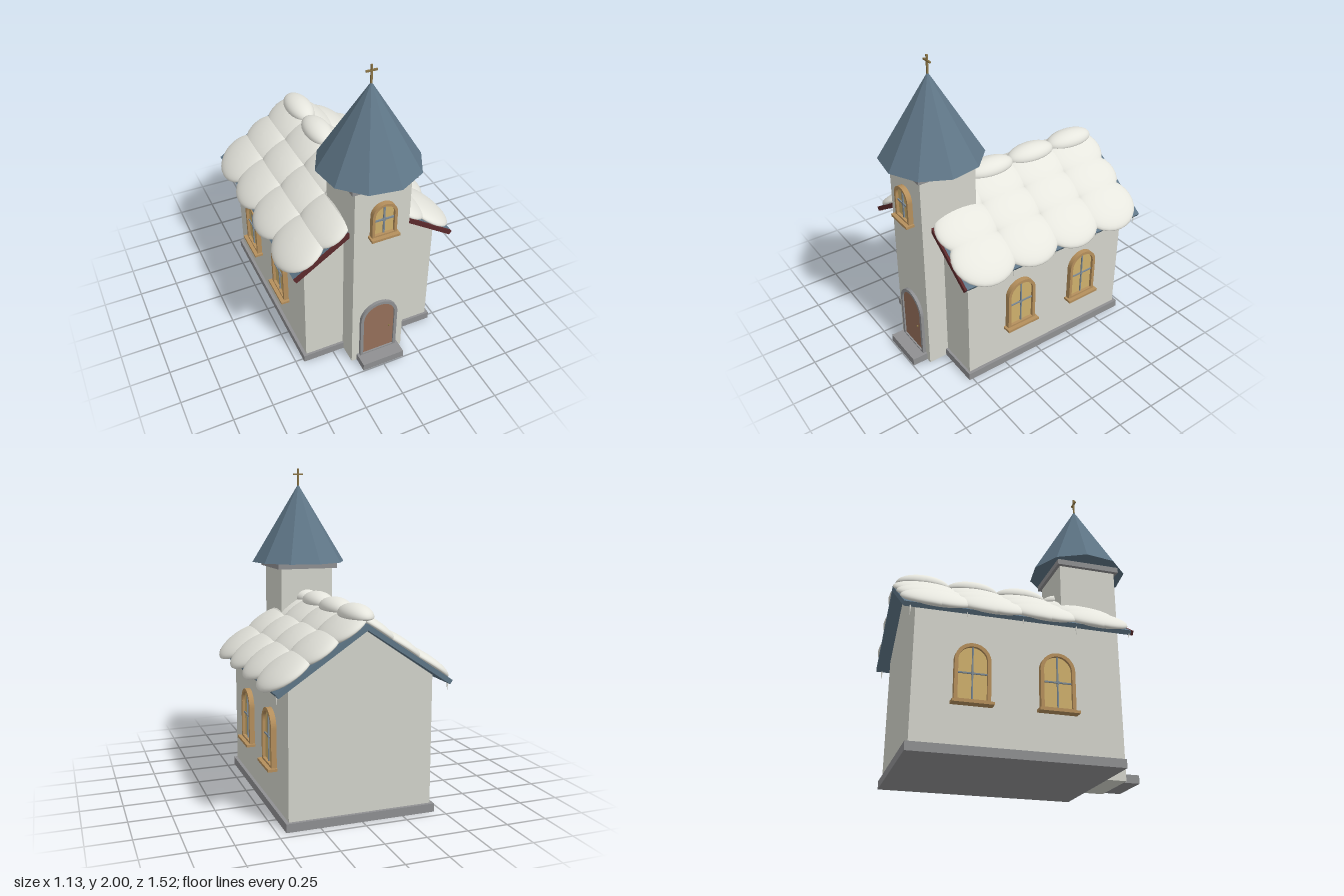
import * as THREE from 'three';

const mat = (name, color, extra = {}) => {
  const m = new THREE.MeshStandardMaterial({ color, ...extra });
  m.name = name;
  return m;
};

export function createModel() {
  const model = new THREE.Group();
  model.name = 'chapel';
  const M = {
    wall: mat('plaster', 0xd3d4cb),
    stone: mat('stone', 0x8f9092),
    roof: mat('slate', 0x5f7687, { flatShading: true }),
    trim: mat('dark red trim', 0x5c2a2c),
    snow: mat('snow', 0xe6e6de),
    door: mat('door wood', 0x96705a),
    frame: mat('window wood', 0xb58f5c),
    pane: mat('lit glass', 0xcfb06c),
    bar: mat('window bar', 0x7d8a94),
    brass: mat('brass', 0x8a7446),
  };

  const add = (parent, name, geo, material, x = 0, y = 0, z = 0) => {
    const mesh = new THREE.Mesh(geo, material);
    mesh.name = name;
    mesh.position.set(x, y, z);
    parent.add(mesh);
    return mesh;
  };
  // Box given by its limits on each axis
  const box = (parent, name, material, x0, x1, y0, y1, z0, z1) =>
    add(parent, name, new THREE.BoxGeometry(x1 - x0, y1 - y0, z1 - z0), material,
      (x0 + x1) / 2, (y0 + y1) / 2, (z0 + z1) / 2);
  const extrude = (shape, depth) =>
    new THREE.ExtrudeGeometry(shape, { depth, bevelEnabled: false, curveSegments: 16 });
  const polygon = (pts) => new THREE.Shape(pts.map(([x, y]) => new THREE.Vector2(x, y)));
  // Round-headed outline, half width w, from y0 to y1
  const arch = (w, y0, y1) => {
    const s = new THREE.Shape();
    s.moveTo(-w, y0);
    s.lineTo(w, y0);
    s.lineTo(w, y1 - w);
    s.absarc(0, y1 - w, w, 0, Math.PI, false);
    s.lineTo(-w, y0);
    return s;
  };
  const archFrame = (w, y0, y1, t, bottom) => {
    const s = arch(w, y0, y1);
    s.holes.push(arch(w - t, y0 + bottom, y1 - t));
    return s;
  };

  // Nave, gable and plinth
  box(model, 'naveWalls', M.wall, -0.43, 0.43, 0.05, 0.8, -0.675, 0.51);
  box(model, 'plinth', M.stone, -0.45, 0.45, 0, 0.05, -0.695, 0.525);
  add(model, 'gable', extrude(polygon([[-0.43, 0.8], [0.43, 0.8], [0.43, 0.815], [0, 1.105], [-0.43, 0.815]]), 1.185),
    M.wall, 0, 0, -0.675);

  // Roof with a trim board along the front edge
  const chevron = polygon([[0, 1.14], [-0.52, 0.793], [-0.505, 0.77], [0, 1.105], [0.505, 0.77], [0.52, 0.793]]);
  add(model, 'naveRoof', extrude(chevron, 1.32), M.roof, 0, 0, -0.75);
  add(model, 'frontRoofTrim', extrude(chevron, 0.015), M.trim, 0, 0, 0.57);

  // Snow pillows, flattened underneath, in rows along both slopes and the ridge
  const puffGeo = new THREE.SphereGeometry(1, 28, 18);
  const p = puffGeo.attributes.position;
  for (let i = 0; i < p.count; i++) if (p.getY(i) < 0) p.setY(i, p.getY(i) * 0.6);
  puffGeo.computeVertexNormals();
  const snow = new THREE.Group();
  snow.name = 'roofSnow';
  model.add(snow);
  const pitch = Math.atan2(0.347, 0.52);
  const columns = [[0.08, 0.17], [0.24, 0.17], [0.41, 0.182]];
  for (const z of [0.385, 0.07, -0.245, -0.555]) {
    for (const side of [-1, 1]) {
      for (const [x, a] of columns) {
        const puff = add(snow, 'snowPillow', puffGeo, M.snow, side * x, 1.152 - 0.667 * x, z);
        puff.scale.set(a, 0.05, 0.205);
        puff.rotation.z = -side * pitch;
      }
    }
    add(snow, 'ridgeSnow', puffGeo, M.snow, 0, 1.165, z - 0.01).scale.set(0.088, 0.065, 0.17);
  }

  // Icicles under the eaves
  for (const side of [-1, 1])
    for (const [z, len] of [[0.56, 0.03], [0.235, 0.06], [-0.08, 0.03], [-0.4, 0.03], [-0.715, 0.06]])
      add(model, 'icicle', new THREE.ConeGeometry(0.006, len, 8).rotateX(Math.PI), M.snow,
        side * 0.505, 0.78 - len / 2, z);

  // Tower, cornice, ten-sided spire and cross
  box(model, 'tower', M.wall, -0.175, 0.175, 0, 1.36, 0.275, 0.645);
  box(model, 'towerCornice', M.stone, -0.2, 0.2, 1.355, 1.39, 0.255, 0.665);
  add(model, 'spire', new THREE.ConeGeometry(0.31, 0.51, 10, 1, false, 0.16), M.roof, 0, 1.645, 0.458);
  box(model, 'crossPost', M.brass, -0.005, 0.005, 1.88, 2.0, 0.453, 0.463);
  box(model, 'crossBar', M.brass, -0.034, 0.034, 1.96, 1.97, 0.453, 0.463);

  // Door with step and knob
  box(model, 'doorStep', M.stone, -0.14, 0.14, 0, 0.05, 0.645, 0.745);
  add(model, 'doorFrame', extrude(archFrame(0.125, 0.05, 0.47, 0.02, 0.008), 0.022), M.stone, 0, 0, 0.643);
  add(model, 'door', extrude(arch(0.106, 0.055, 0.451), 0.012), M.door, 0, 0, 0.643);
  add(model, 'doorKnob', new THREE.SphereGeometry(0.006, 12, 8), M.brass, 0.07, 0.24, 0.664);

  // Arched window facing +z, wall at local z = 0
  const makeWindow = (name, w, y0, y1, t, barY, barW) => {
    const g = new THREE.Group();
    g.name = name;
    add(g, 'windowFrame', extrude(archFrame(w, y0, y1, t, t * 0.6), 0.032), M.frame);
    add(g, 'windowPane', extrude(arch(w - t + 0.001, y0 + t * 0.5, y1 - t + 0.001), 0.009), M.pane, 0, 0, 0.005);
    box(g, 'uprightBar', M.bar, -barW / 2, barW / 2, y0 + t * 0.5, y1 - t, 0.012, 0.022);
    box(g, 'crossingBar', M.bar, -w + t, w - t, barY - barW / 2, barY + barW / 2, 0.012, 0.022);
    box(g, 'barJoint', M.bar, -barW, barW, barY - barW, barY + barW, 0.012, 0.024);
    box(g, 'windowSill', M.frame, -w * 1.14, w * 1.14, y0 - 0.016, y0, 0, 0.056);
    model.add(g);
    return g;
  };
  makeWindow('towerWindow', 0.078, 1.024, 1.245, 0.017, 1.13, 0.01).position.z = 0.645;
  for (const side of [-1, 1]) {
    for (const z of [0.135, -0.35]) {
      const win = makeWindow('sideWindow', 0.102, 0.288, 0.62, 0.02, 0.45, 0.008);
      win.position.set(side * 0.43, 0, z);
      win.rotation.y = side * Math.PI / 2;
    }
  }
  return model;
}
